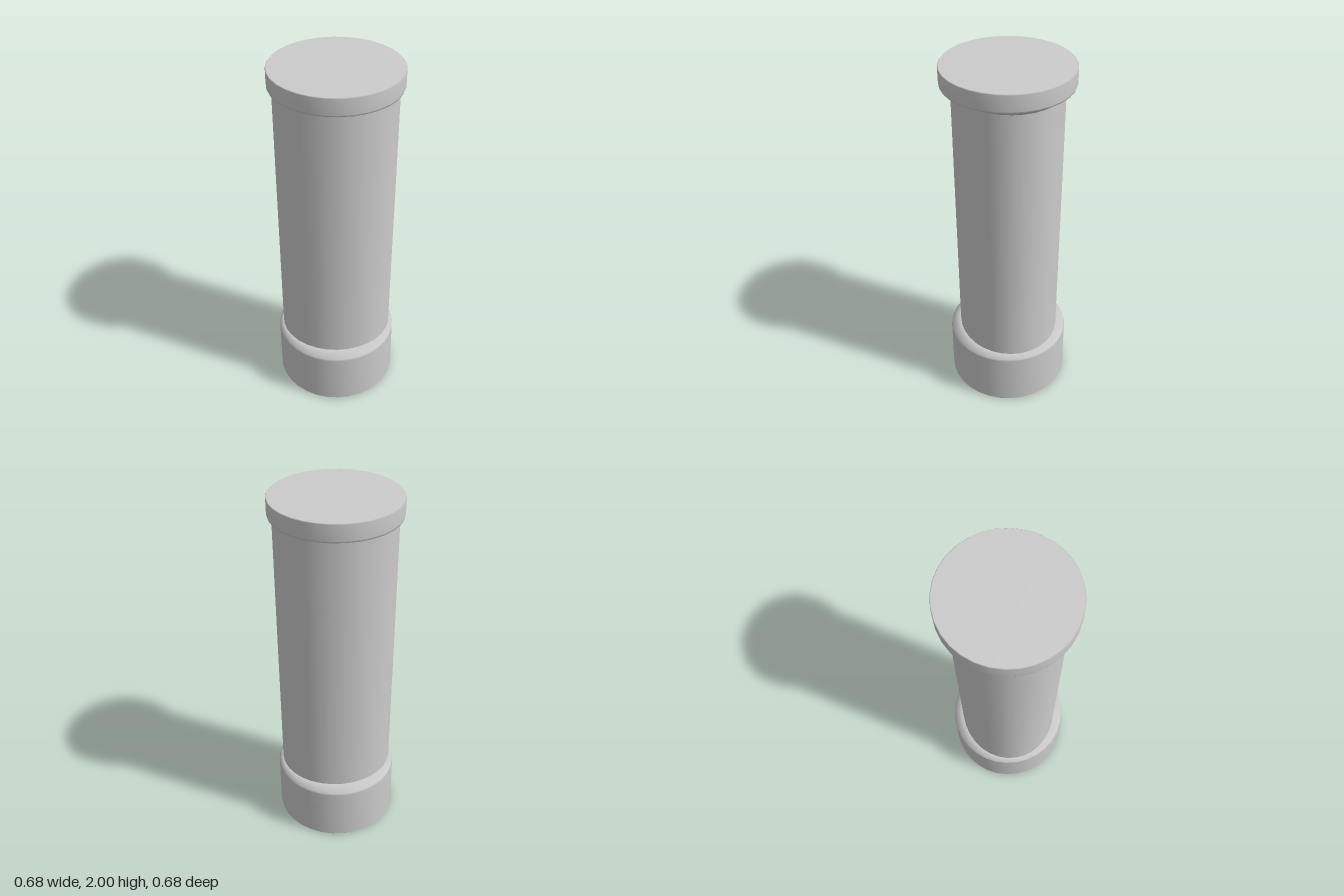
import * as THREE from 'three';

const SIDES = 32;
const SHAFT_X = 0.318, SHAFT_Z = 0.284; // half-widths of the oval shaft
const RIM = 0.342;                      // radius of the round base and cap

const material = new THREE.MeshStandardMaterial({ color: 0xcccccc });

// Revolve a [radius, y] profile; the ring at y = ovalY is squeezed to the shaft's oval
function collar(name, profile, ovalY) {
  const geometry = new THREE.LatheGeometry(profile.map(([r, y]) => new THREE.Vector2(r, y)), SIDES);
  const pos = geometry.attributes.position;
  for (let i = 0; i < pos.count; i++) {
    if (Math.abs(pos.getY(i) - ovalY) < 1e-4) pos.setZ(i, pos.getZ(i) * SHAFT_Z / SHAFT_X);
  }
  const mesh = new THREE.Mesh(geometry, material);
  mesh.name = name;
  return mesh;
}

export function createModel() {
  const group = new THREE.Group();
  group.name = 'column';

  // Tall round base, its shoulder narrowing to the oval shaft
  group.add(collar('base', [
    [0, 0], [RIM - 0.004, 0], [RIM, 0.005], [RIM, 0.315], [RIM - 0.003, 0.326], [SHAFT_X, 0.352], [0, 0.352],
  ], 0.352));

  // Oval shaft
  const shaftGeometry = new THREE.CylinderGeometry(SHAFT_X, SHAFT_X, 1.534, SIDES, 1, true);
  shaftGeometry.scale(1, 1, SHAFT_Z / SHAFT_X);
  const shaft = new THREE.Mesh(shaftGeometry, material);
  shaft.name = 'shaft';
  shaft.position.y = 1.118;
  group.add(shaft);

  // Short round cap, flaring out from the shaft
  group.add(collar('cap', [
    [0, 1.885], [SHAFT_X, 1.885], [RIM - 0.003, 1.904], [RIM, 1.914], [RIM, 1.995], [RIM - 0.004, 2], [0, 2],
  ], 1.885));

  return group;
}
